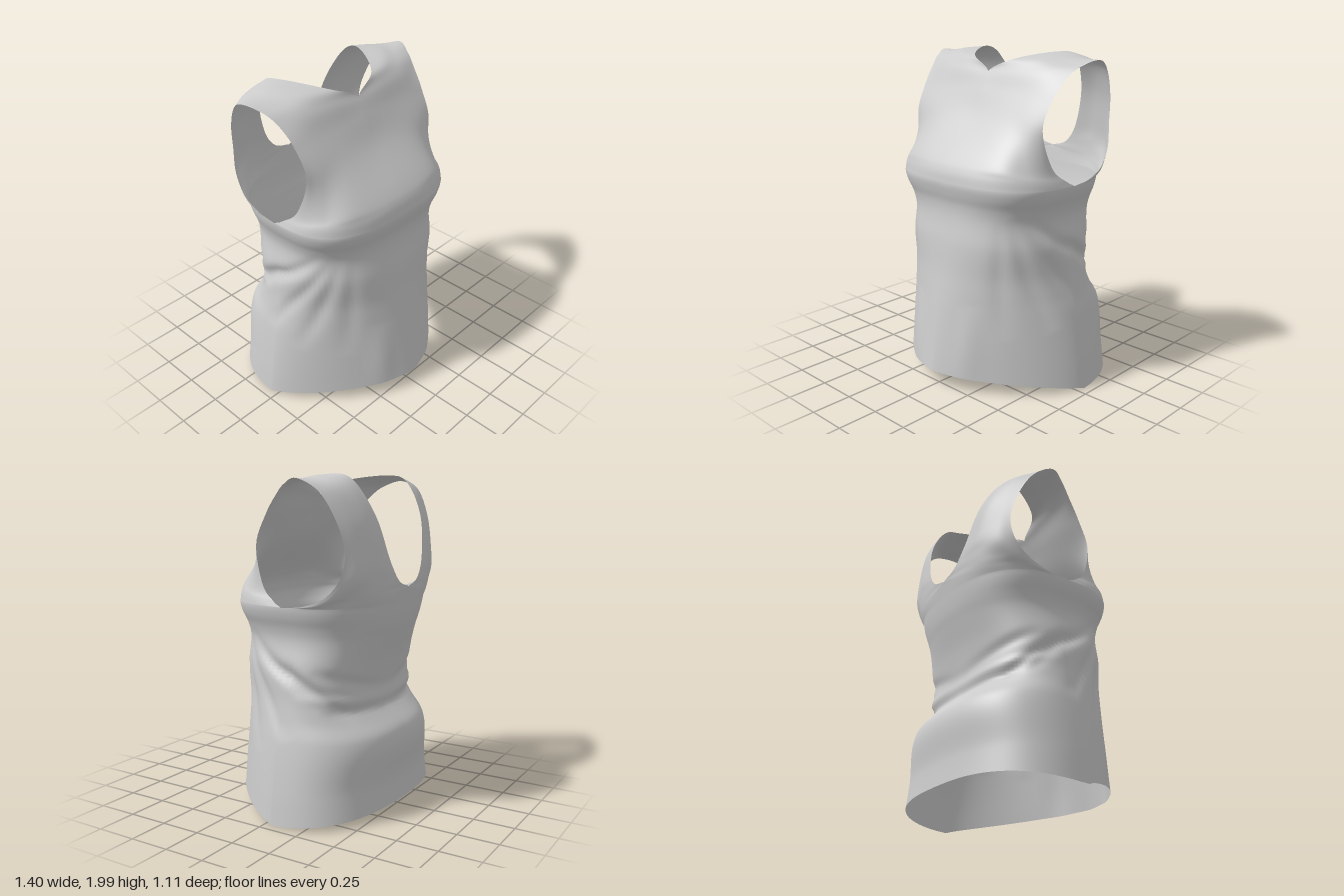
import * as THREE from 'three';
import { mergeGeometries, mergeVertices } from 'three/addons/utils/BufferGeometryUtils.js';

const COLS = 28;          // columns from centre line to side seam
const UNDERARM = 1.26;    // height where the body meets the shoulder panels
const ZC = -0.05;         // depth of the side seam

// Body profile: height -> half width, front z, back z, front squareness
const heights = [0, 0.2, 0.5, 0.61, 0.72, 0.9, 1.07, 1.14, 1.2, 1.26, 1.335];
const profile = new THREE.CubicInterpolant(heights, [
  0.70, 0.575, -0.56, 1.47,
  0.678, 0.545, -0.54, 1.52,
  0.63, 0.495, -0.53, 1.68,
  0.605, 0.475, -0.44, 1.8,
  0.585, 0.455, -0.415, 1.95,
  0.57, 0.43, -0.44, 2.3,
  0.54, 0.40, -0.49, 2.6,
  0.552, 0.402, -0.512, 2.8,
  0.575, 0.418, -0.525, 2.95,
  0.587, 0.428, -0.535, 3.0,
  0.575, 0.412, -0.545, 3.0,
], 4);

// Cloth folds: start angle, start height, end angle, end height, width, depth
const folds = [
  [0.60, 1.08, 0.75, 0.35, 0.045, 0.012],
  [0.75, 1.10, 1.20, 0.40, 0.045, 0.018],
  [0.85, 1.10, 1.65, 0.50, 0.04, 0.018],
  [1.00, 1.10, 2.20, 0.64, 0.035, 0.025],
  [1.35, 0.95, 2.70, 0.60, 0.03, 0.022],
  [1.90, 0.90, 3.30, 0.74, 0.03, 0.018],
  [2.10, 0.66, 3.60, 0.62, 0.028, 0.022],
  [0.40, 0.55, 0.45, 0.00, 0.06, -0.012],
  [1.70, 0.75, 3.40, 0.68, 0.028, -0.016],
];

function foldDepth(a, y) {
  let sum = 0;
  for (const [a0, y0, a1, y1, width, depth] of folds) {
    const dx = (a1 - a0) * 0.55, dy = y1 - y0, px = (a - a0) * 0.55, py = y - y0;
    const t = THREE.MathUtils.clamp((px * dx + py * dy) / (dx * dx + dy * dy), 0, 1);
    const d = Math.hypot(px - t * dx, py - t * dy) / width;
    sum += depth * Math.sin(Math.PI * t) * Math.exp(-d * d);
  }
  return sum;
}

// Point on the body: a = 0 front, PI/2 side, PI back; v = 0 hem, 1 underarm
function bodyPoint(a, v) {
  const s = Math.max(0, Math.sin(a)), c = Math.abs(Math.cos(a)), front = a < Math.PI / 2;
  const hem = 0.01 + (front ? 0.1 : 0.06) * c;
  const y = THREE.MathUtils.lerp(hem, UNDERARM, v);
  const [w, zf, zb, n] = profile.evaluate(y);
  const e = 2 / (front ? n : 2.6);
  const k = 1 - foldDepth(a, y) / 0.55;
  const x = a > 3.1415 ? 0 : w * s ** e;
  return new THREE.Vector3(x * k, y, ZC + (front ? zf - ZC : zb - ZC) * c ** e * k);
}

// Guide lines running from the front, over the shoulder, down the back
const inner = [ // centre front, neckline, centre back
  [0, 1.335, 0.412], [0, 1.42, 0.36], [0, 1.62, 0.2], [0, 1.78, 0.115], [0, 1.885, 0.06],
  [0.17, 1.965, 0], [0.32, 2, -0.24], [0.325, 1.955, -0.37], [0.28, 1.76, -0.485],
  [0.205, 1.52, -0.535], [0.115, 1.395, -0.55], [0, 1.355, -0.552], [0, 1.335, -0.548],
];
const innerMid = [
  [0.365, 1.335, 0.37], [0.34, 1.41, 0.34], [0.25, 1.62, 0.2], [0.2, 1.78, 0.11],
  [0.21, 1.9, 0.05], [0.32, 1.97, -0.03], [0.43, 1.988, -0.22], [0.415, 1.94, -0.37],
  [0.38, 1.76, -0.475], [0.335, 1.53, -0.522], [0.315, 1.42, -0.525], [0.325, 1.35, -0.516],
  [0.34, 1.305, -0.502],
];
const outerMid = [
  [0.515, 1.32, 0.255], [0.475, 1.395, 0.25], [0.415, 1.61, 0.19], [0.385, 1.78, 0.1],
  [0.4, 1.9, 0.03], [0.45, 1.955, -0.055], [0.53, 1.972, -0.2], [0.505, 1.925, -0.35],
  [0.475, 1.76, -0.44], [0.455, 1.56, -0.48], [0.465, 1.43, -0.48], [0.49, 1.34, -0.43],
  [0.515, 1.295, -0.375],
];
const outer = [ // armhole edge
  [0.575, 1.293, 0.01], [0.545, 1.38, 0.105], [0.52, 1.6, 0.165], [0.53, 1.77, 0.09],
  [0.555, 1.88, 0], [0.59, 1.94, -0.08], [0.635, 1.97, -0.19], [0.6, 1.9, -0.31],
  [0.565, 1.75, -0.395], [0.535, 1.58, -0.435], [0.55, 1.43, -0.41], [0.57, 1.325, -0.32],
  [0.583, 1.275, -0.19],
];
const guides = [inner, innerMid, outerMid, outer].map((pts, k) => {
  const a = k * Math.PI / 6;
  return new THREE.CatmullRomCurve3([
    bodyPoint(a, 1), ...pts.map(p => new THREE.Vector3(...p)), bodyPoint(Math.PI - a, 1),
  ], false, 'catmullrom', 0.5);
});

// Point across the four guides at v
function guideRow(u, v) {
  return new THREE.CatmullRomCurve3(guides.map(g => g.getPoint(v)), false, 'catmullrom', 0.5).getPoint(u);
}

// Point on a shoulder panel: u = 0 neck side, 1 armhole side; v = front to back
function shoulderPoint(u, v) {
  const p = guideRow(u, v);
  // ease into the exact body outline at both lower ends
  const end = Math.round(v), a = end ? Math.PI - u * Math.PI / 2 : u * Math.PI / 2;
  const fade = 1 - THREE.MathUtils.smoothstep(Math.abs(v - end), 0, 0.25);
  p.addScaledVector(bodyPoint(a, 1).sub(guideRow(u, end)), fade);
  // keep the centre line exactly on the mirror plane
  const onCentre = v <= 5 / 14 + 1e-6 || v >= 12 / 14 - 1e-6;
  p.x = u === 0 && onCentre ? 0 : Math.max(0, p.x);
  return p;
}

// Grid surface; side = -1 builds the mirrored half with flipped winding
function sheet(point, cols, rows, side) {
  const pos = [], index = [];
  for (let j = 0; j <= rows; j++) {
    for (let i = 0; i <= cols; i++) {
      const p = point(i / cols, j / rows);
      pos.push(p.x * side, p.y, p.z);
      if (i === cols || j === rows) continue;
      const a = j * (cols + 1) + i, b = a + 1, c = b + cols + 1, d = a + cols + 1;
      if (side > 0) index.push(a, b, c, a, c, d);
      else index.push(a, c, b, a, d, c);
    }
  }
  const g = new THREE.BufferGeometry();
  g.setAttribute('position', new THREE.Float32BufferAttribute(pos, 3));
  g.setIndex(index);
  return g;
}

export function createModel() {
  const group = new THREE.Group();
  group.name = 'sleevelessTop';

  // Body and shoulder halves welded into one smooth cloth surface
  const parts = [];
  for (const side of [1, -1]) {
    parts.push(sheet((u, v) => bodyPoint(u * Math.PI, v), COLS * 2, 70, side));
    parts.push(sheet(shoulderPoint, COLS, 98, side));
  }
  const cloth = mergeVertices(mergeGeometries(parts), 1e-4);
  cloth.computeVertexNormals();

  const mesh = new THREE.Mesh(cloth, new THREE.MeshStandardMaterial({
    color: 0xcccccc, side: THREE.DoubleSide,
  }));
  mesh.name = 'clothShell';
  group.add(mesh);
  return group;
}
